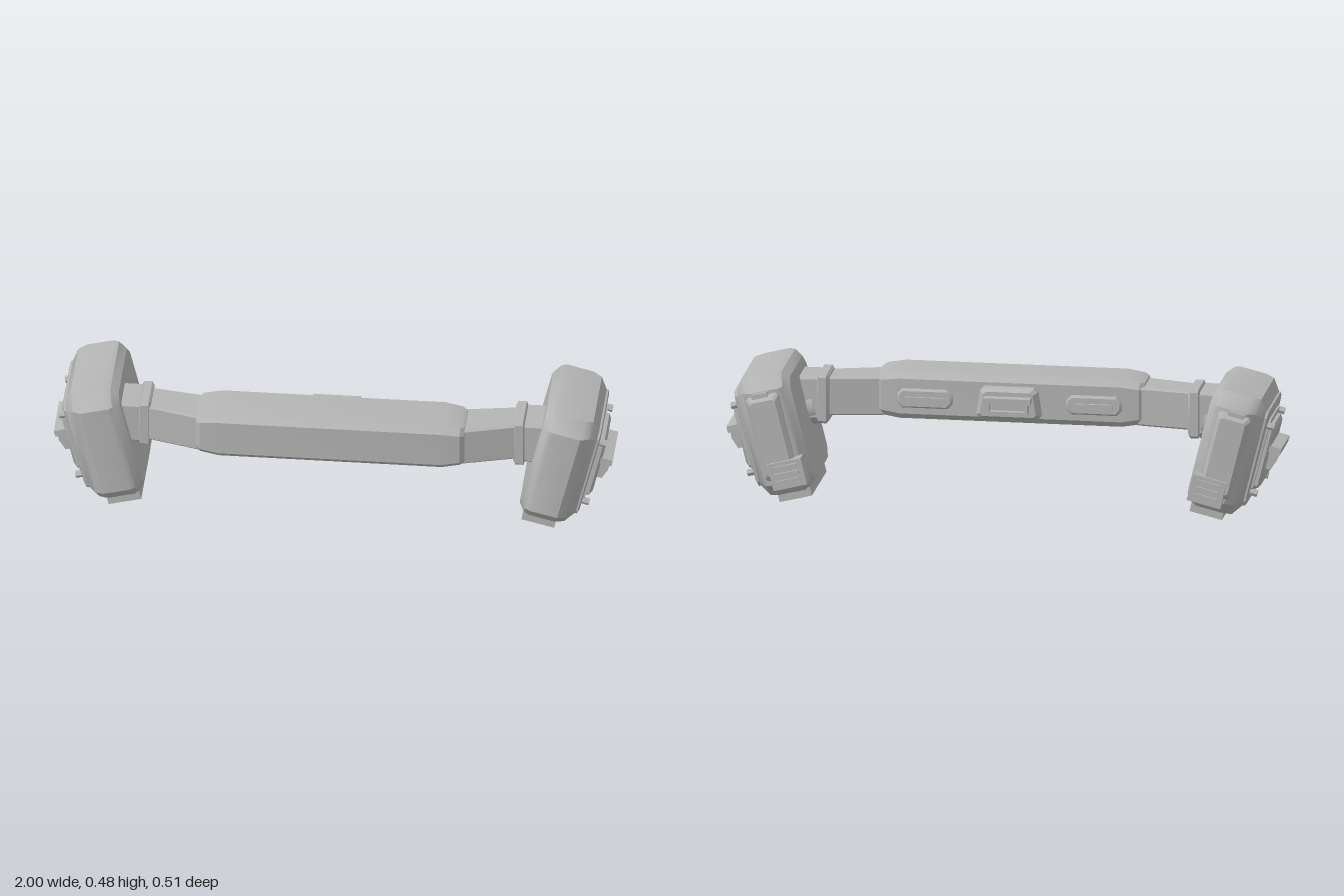
import * as THREE from 'three';
import { toCreasedNormals } from 'three/addons/utils/BufferGeometryUtils.js';

// Loft of chamfered rectangles along +x. Ring: [x, halfY, halfZ, chamfer, centreY, centreZ, taper]
function loft(rings) {
  const loops = rings.map(([x, h, w, c = 0.004, cy = 0, cz = 0, k = 0]) =>
    [[h, -w + c], [h, w - c], [h - c, w], [-h + c, w], [-h, w - c], [-h, -w + c], [-h + c, -w], [h - c, -w]]
      .map(([y, z]) => [x, y + cy, z * (1 - k * y / h) + cz]));
  const pos = [];
  const tri = (...pts) => pts.forEach((p) => pos.push(...p));
  const first = loops[0], last = loops[loops.length - 1];
  for (let i = 0; i < 8; i++) {
    const j = (i + 1) % 8;
    for (let r = 0; r + 1 < loops.length; r++) {
      const a = loops[r], b = loops[r + 1];
      tri(a[i], a[j], b[j]);
      tri(a[i], b[j], b[i]);
    }
    if (i > 0 && i < 7) {
      tri(last[0], last[i], last[j]);
      tri(first[0], first[j], first[i]);
    }
  }
  const geo = new THREE.BufferGeometry();
  geo.setAttribute('position', new THREE.Float32BufferAttribute(pos, 3));
  return geo;
}

// Box given by its limits
function box(x0, x1, y0, y1, z0, z1) {
  return new THREE.BoxGeometry(x1 - x0, y1 - y0, z1 - z0)
    .translate((x0 + x1) / 2, (y0 + y1) / 2, (z0 + z1) / 2);
}

// Copy mirrored in x, with the corner order reversed
function mirrored(geo) {
  const g = geo.clone().scale(-1, 1, 1);
  const p = g.getAttribute('position').array;
  for (let i = 0; i < p.length; i += 9) {
    for (let k = 0; k < 3; k++) [p[i + 3 + k], p[i + 6 + k]] = [p[i + 6 + k], p[i + 3 + k]];
  }
  return g;
}

export function createModel() {
  const model = new THREE.Group();
  model.name = 'harness';
  const grey = new THREE.MeshStandardMaterial({ color: 0xb4b4b4 });
  grey.name = 'grey';

  const plain = (geo) => {
    const g = geo.index ? geo.toNonIndexed() : geo;
    g.deleteAttribute('uv');
    g.deleteAttribute('normal');
    return g;
  };
  const add = (name, geo, parent = model) => {
    const mesh = new THREE.Mesh(toCreasedNormals(plain(geo), 0.5), grey);
    mesh.name = name;
    parent.add(mesh);
  };
  const sides = ['left', 'right'].map((s) => {
    const g = new THREE.Group();
    g.name = s + 'Side';
    model.add(g);
    return g;
  });
  const pair = (name, geo) => {
    const g = plain(geo);
    add(name, g, sides[0]);
    add(name, mirrored(g), sides[1]);
  };
  // Pod parts: local x outwards, tilted so the top leans out
  const tilt = new THREE.Matrix4().makeRotationZ(-0.244).setPosition(0.81, 0.254, 0.011);
  const pod = (name, geo) => pair(name, geo.applyMatrix4(tilt));
  const facingBack = (geo, x, y, z) => geo.rotateY(Math.PI / 2).translate(x, y, z);

  // Front bar
  const bar = (x, h, w) => [x, h, w, 0.022, 0.356, 0.152];
  add('frontBar', loft([
    bar(-0.48, 0.07, 0.08), bar(-0.465, 0.077, 0.094), bar(-0.4, 0.086, 0.102),
    bar(0.4, 0.086, 0.102), bar(0.465, 0.077, 0.094), bar(0.48, 0.07, 0.08),
  ]));

  // Central latch on the back of the bar
  add('latchBase', facingBack(loft([
    [-0.01, 0.056, 0.11, 0.012, 0, 0, 0.08], [0.025, 0.056, 0.11, 0.012, 0, 0, 0.08],
    [0.045, 0.045, 0.095, 0.01, 0, 0, 0.08],
  ]), 0, 0.352, 0.05));
  add('latchLedge', box(-0.085, 0.085, 0.36, 0.382, -0.03, 0.01));
  add('latchLowerLip', box(-0.075, 0.075, 0.322, 0.33, -0.015, 0.01));
  for (const s of [-1, 1]) add('latchCheek', box(s * 0.07 - 0.006, s * 0.07 + 0.006, 0.328, 0.362, -0.02, 0.01));

  // Small clips either side of the latch
  pair('clipBase', facingBack(loft([
    [-0.01, 0.034, 0.1, 0.018], [0.012, 0.034, 0.1, 0.018], [0.018, 0.028, 0.092, 0.015],
  ]), 0.305, 0.352, 0.05));
  pair('clipLedge', box(0.235, 0.375, 0.342, 0.36, 0.022, 0.04));

  // Arm from the bar to the hinge
  pair('arm', loft([
    [0.46, 0.07, 0.077, 0.006, 0.347, 0.145], [0.68, 0.07, 0.064, 0.006, 0.347, 0.096],
  ]));

  // Hinge block and round boss
  pair('hingeBlock', loft([
    [0.648, 0.082, 0.07, 0.01, 0.342, 0.09], [0.656, 0.09, 0.08, 0.01, 0.342, 0.091],
    [0.685, 0.09, 0.08, 0.01, 0.342, 0.091], [0.69, 0.08, 0.073, 0.01, 0.342, 0.091],
    [0.755, 0.08, 0.073, 0.01, 0.342, 0.091],
  ]));
  pod('hingeBoss', new THREE.CylinderGeometry(0.075, 0.075, 0.04, 24)
    .rotateZ(Math.PI / 2).translate(-0.1, 0.03, 0.075));

  // Pod body
  pod('podBody', loft([
    [-0.095, 0.19, 0.18, 0.035], [-0.072, 0.216, 0.207, 0.045], [-0.055, 0.222, 0.216, 0.05],
    [0.045, 0.222, 0.216, 0.05], [0.076, 0.22, 0.196, 0.047], [0.105, 0.18, 0.162, 0.022],
  ]));
  pod('podFoot', box(-0.072, 0.048, -0.247, -0.2, -0.167, 0.167));

  // Layered outer plates
  pod('outerPlate', loft([
    [0.1, 0.18, 0.161, 0.02], [0.112, 0.18, 0.161, 0.02], [0.117, 0.171, 0.15, 0.018],
  ]));
  pod('innerPlate', loft([
    [0.11, 0.142, 0.13, 0.032, 0, 0, 0.04], [0.124, 0.142, 0.13, 0.032, 0, 0, 0.04],
  ]));
  pod('innerBlock', loft([
    [0.12, 0.118, 0.106, 0.012, 0, 0, 0.06], [0.136, 0.118, 0.106, 0.012, 0, 0, 0.06],
    [0.146, 0.104, 0.094, 0.01, 0, 0, 0.06],
  ]));

  // Pull handle on the outer block
  pod('handleLedge', box(0.13, 0.185, 0.022, 0.046, -0.097, 0.097));
  pod('handleSill', box(0.13, 0.165, -0.042, -0.03, -0.088, 0.088));
  for (const s of [-1, 1]) {
    pod('handleCheek', loft([
      [0.13, 0.032, 0.008, 0.002, -0.008, s * 0.08], [0.165, 0.032, 0.008, 0.002, -0.008, s * 0.08],
      [0.178, 0.014, 0.008, 0.002, 0.01, s * 0.08],
    ]));
    // Corner bolts
    for (const [y, z] of [[0.122, 0.117], [-0.128, 0.126]]) {
      pod('bolt', new THREE.CylinderGeometry(0.013, 0.013, 0.04, 6)
        .rotateZ(Math.PI / 2).translate(0.124, y, s * z));
    }
  }

  // Back panel and vent box
  pod('backPanel', facingBack(loft([
    [-0.02, 0.155, 0.06, 0.008], [0.014, 0.155, 0.06, 0.008], [0.032, 0.138, 0.046, 0.008],
  ]), 0.005, 0.005, -0.214));
  pod('backPanelTab', box(-0.02, 0.04, 0.13, 0.17, -0.235, -0.2));
  pod('ventBox', box(-0.084, 0.04, -0.183, -0.084, -0.258, -0.19));
  for (let i = 0; i < 3; i++) {
    const y = -0.163 + i * 0.026;
    pod('ventSlat', box(-0.066, 0.022, y, y + 0.014, -0.267, -0.255));
  }
  return model;
}
